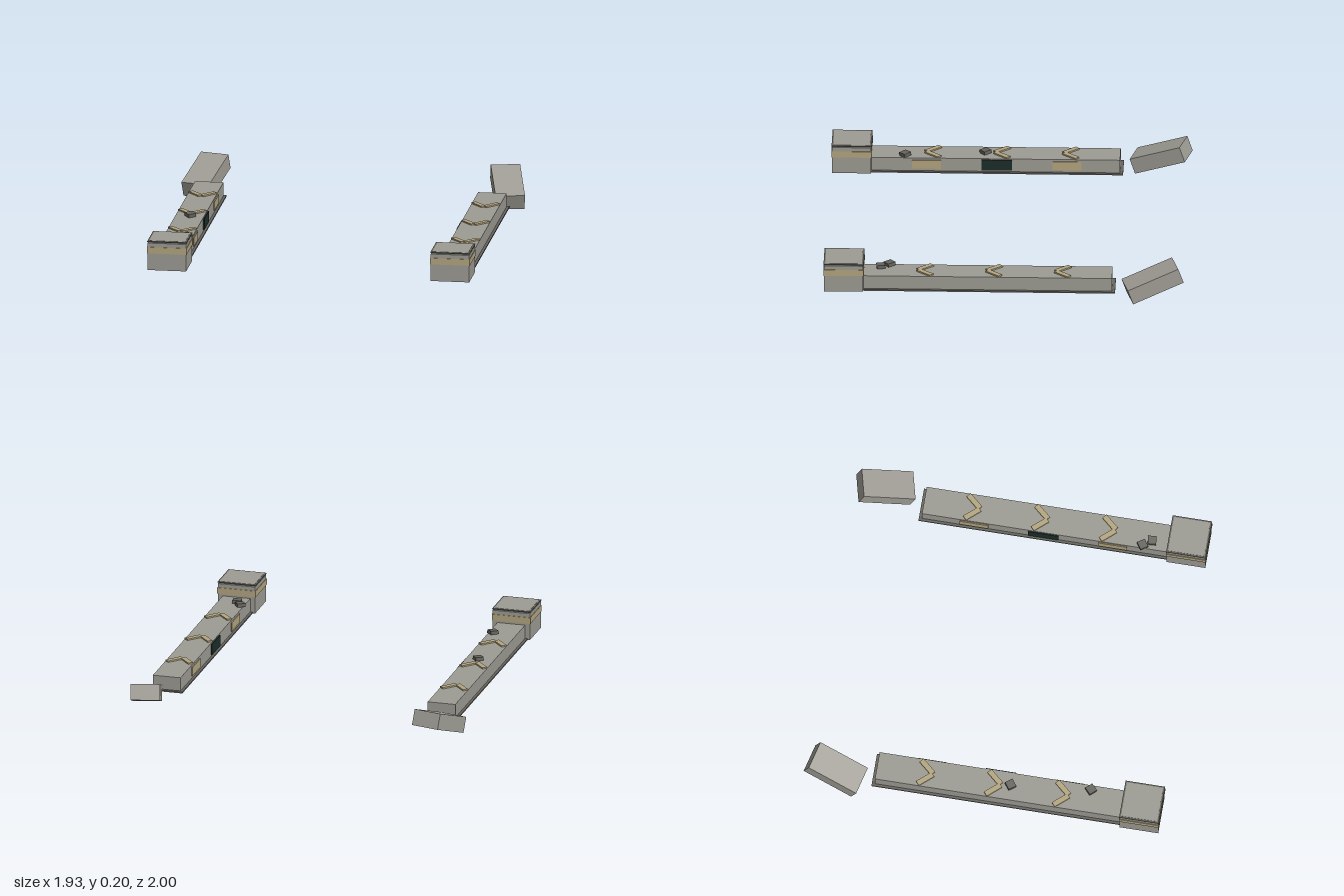
import * as THREE from 'three';

const mat = (name, color) => {
  const m = new THREE.MeshStandardMaterial({ color });
  m.name = name;
  return m;
};

export function createModel() {
  const stone = mat('stone', 0x9e9c94);
  const darkStone = mat('dark stone', 0x65645e);
  const sand = mat('sand trim', 0xb5a680);
  const teal = mat('dark teal', 0x1c2e2a);

  const model = new THREE.Group();
  model.name = 'brokenWalls';

  const box = (parent, name, size, pos, material) => {
    const mesh = new THREE.Mesh(new THREE.BoxGeometry(...size), material);
    mesh.name = name;
    mesh.position.set(...pos);
    parent.add(mesh);
    return mesh;
  };

  for (const side of [1, -1]) {
    const wall = new THREE.Group();
    wall.name = side > 0 ? 'leftWall' : 'rightWall';
    wall.position.x = side * 0.794;
    model.add(wall);

    // Long low wall on a thin wider plinth, dark above and pale below
    box(wall, 'plinthTrim', [0.19, 0.005, 1.395], [0, 0.0405, 0.077], darkStone);
    box(wall, 'plinthBase', [0.19, 0.003, 1.395], [0, 0.0365, 0.077], stone);
    box(wall, 'wallBody', [0.16, 0.077, 1.383], [0, 0.0815, 0.0885], stone);

    // Front pillar with trim band and a cap
    box(wall, 'pillar', [0.216, 0.155, 0.218], [0, 0.1125, 0.886], stone);
    box(wall, 'pillarBand', [0.222, 0.036, 0.224], [0, 0.149, 0.886], sand);
    box(wall, 'capRim', [0.22, 0.004, 0.222], [0, 0.198, 0.886], darkStone);
    box(wall, 'capTop', [0.202, 0.002, 0.204], [0, 0.201, 0.886], stone);

    // Chevrons pointing to the front
    for (const z of [-0.328, 0.054, 0.436]) {
      for (const s of [1, -1]) {
        const arm = box(wall, 'chevronArm', [0.03, 0.008, 0.1], [s * 0.036, 0.124, z], sand);
        arm.rotation.y = -s * 0.72;
      }
    }

    // Panels on the face toward the middle
    const inner = -side * 0.082;
    for (const z of [-0.31, 0.47]) {
      box(wall, 'sidePanel', [0.008, 0.05, 0.16], [inner, 0.083, z], sand);
    }
    box(wall, 'centrePanel', [0.009, 0.062, 0.17], [inner, 0.083, 0.08], teal);

    // Tilted broken block behind the wall
    const block = box(model, 'fallenBlock', [0.164, 0.09, 0.305], [side * 0.846, 0.0965, -0.828], stone);
    block.rotation.set(0.35, side * 0.243, 0, 'YXZ');
  }

  // Loose rubble on the wall tops: x, z, turn
  const rubble = [
    [-0.788, 0.145, 0.65], [-0.743, 0.59, 0.75],
    [0.73, 0.635, 0.6], [0.763, 0.683, 0.1],
  ];
  for (const [x, z, turn] of rubble) {
    const chip = box(model, 'rubble', [0.047, 0.02, 0.047], [x, 0.132, z], darkStone);
    chip.rotation.set(0.06, turn, 0.05, 'YXZ');
  }

  return model;
}
